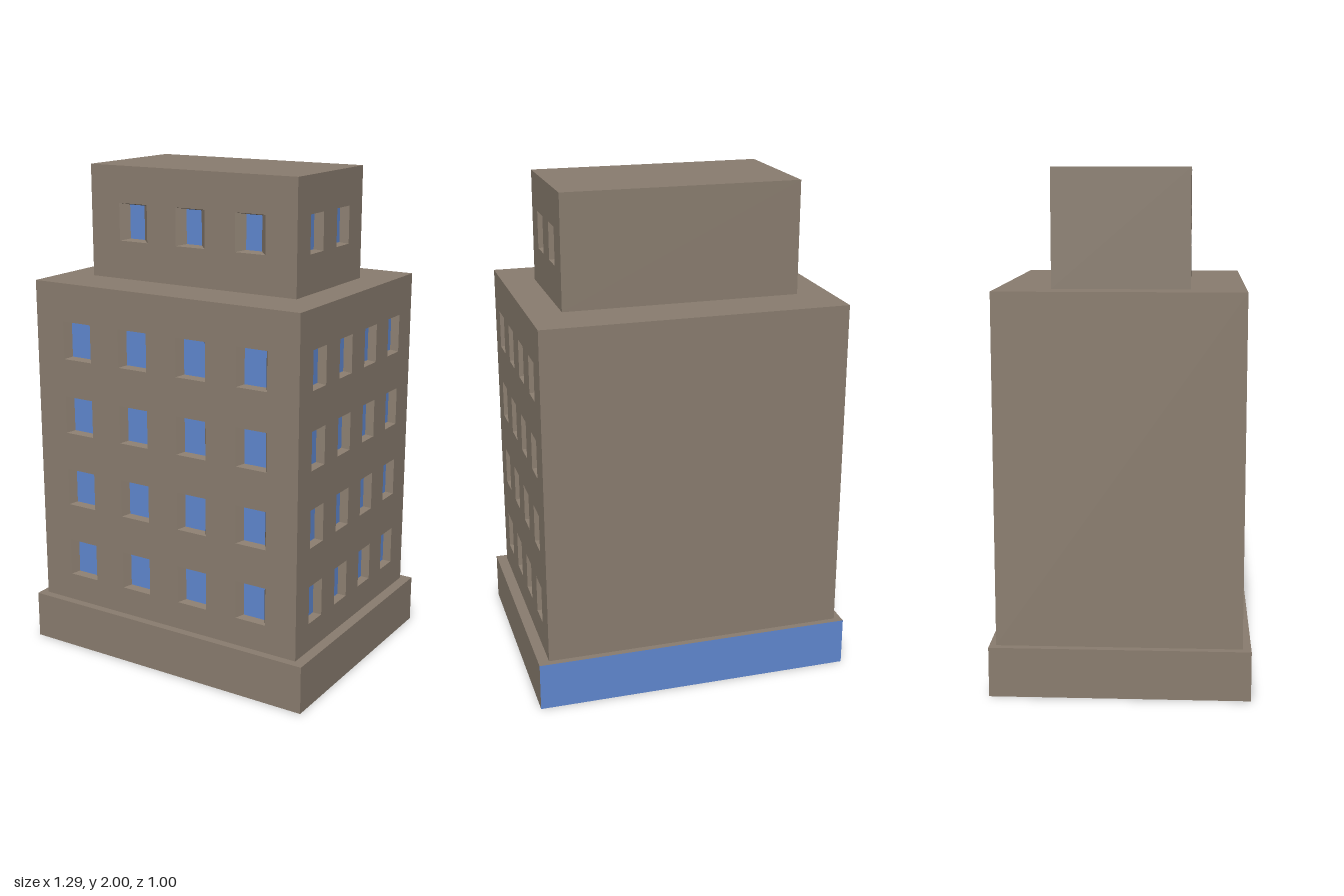
import * as THREE from 'three';

const stone = new THREE.MeshStandardMaterial({ color: 0x8a7d6f });
const blue = new THREE.MeshStandardMaterial({ color: 0x6088d0 });
const DEPTH = 0.03;

function addMesh(parent, name, geometry, material) {
  const mesh = new THREE.Mesh(geometry, material);
  mesh.name = name;
  parent.add(mesh);
  return mesh;
}

// corners of a rectangle, counter-clockwise seen from the front
const corners = (x, y, w, h, z = 0) =>
  [[-1, -1], [1, -1], [1, 1], [-1, 1]].map(([a, b]) => new THREE.Vector3(x + a * w / 2, y + b * h / 2, z));

// four slanted sides running from the opening in to the glass
function revealGeometry(outer, inner) {
  const points = [];
  for (let i = 0; i < 4; i++) {
    const j = (i + 1) % 4;
    points.push(outer[i], outer[j], inner[j], outer[i], inner[j], inner[i]);
  }
  const geometry = new THREE.BufferGeometry().setFromPoints(points);
  geometry.computeVertexNormals();
  return geometry;
}

// flat wall facing +z with a grid of recessed windows
function facade(name, x0, x1, y0, y1, columns, rows, win) {
  const group = new THREE.Group();
  group.name = name;
  const wall = new THREE.Shape(
    [[x0, y0], [x1, y0], [x1, y1], [x0, y1]].map(([x, y]) => new THREE.Vector2(x, y)));
  for (const x of columns) for (const y of rows) {
    const outer = corners(x, y, win.w, win.h);
    const inner = corners(x, y, win.glassW, win.h - 0.014, -DEPTH);
    wall.holes.push(new THREE.Path(outer.map(p => new THREE.Vector2(p.x, p.y)).reverse()));
    addMesh(group, 'windowReveal', revealGeometry(outer, inner), stone);
    const glass = addMesh(group, 'windowGlass', new THREE.PlaneGeometry(win.glassW, win.h - 0.014), blue);
    glass.position.set(x, y, -DEPTH);
  }
  addMesh(group, 'wall', new THREE.ShapeGeometry(wall), stone);
  return group;
}

// one storey block: plain left, back and roof, windows on the front and the +x side
function tier(name, b, front, side) {
  const group = new THREE.Group();
  group.name = name;
  const shell = new THREE.BoxGeometry(b.x1 - b.x0, b.y1 - b.y0, b.z1 - b.z0);
  const index = Array.from(shell.index.array);
  shell.setIndex([...index.slice(6, 18), ...index.slice(30)]);
  shell.clearGroups();
  shell.translate((b.x0 + b.x1) / 2, (b.y0 + b.y1) / 2, (b.z0 + b.z1) / 2);
  addMesh(group, 'plainWallsAndRoof', shell, stone);

  const frontWall = facade('frontFacade', b.x0, b.x1, b.y0, b.y1, front.columns, b.rows, front);
  frontWall.position.z = b.z1;
  const sideWall = facade('sideFacade', -b.z1, -b.z0, b.y0, b.y1, side.columns, b.rows, side);
  sideWall.rotation.y = Math.PI / 2;
  sideWall.position.x = b.x1;
  group.add(frontWall, sideWall);
  return group;
}

export function createModel() {
  const model = new THREE.Group();
  model.name = 'building';

  // plinth with a blue back face
  const plinth = addMesh(model, 'plinth', new THREE.BoxGeometry(1.286, 0.195, 1.002),
    [stone, stone, stone, stone, stone, blue]);
  plinth.position.y = 0.0975;

  // main block, four by four windows on two sides
  model.add(tier('mainBlock',
    { x0: -0.613, x1: 0.6, y0: 0.195, y1: 1.55, z0: -0.475, z1: 0.468, rows: [0.387, 0.698, 1.008, 1.318] },
    { columns: [-0.413, -0.143, 0.128, 0.398], w: 0.134, h: 0.154, glassW: 0.094 },
    { columns: [-0.315, -0.106, 0.104, 0.314], w: 0.103, h: 0.154, glassW: 0.075 }));

  // smaller penthouse on the roof
  model.add(tier('penthouse',
    { x0: -0.481, x1: 0.466, y0: 1.55, y1: 2, z0: -0.264, z1: 0.259, rows: [1.778] },
    { columns: [-0.278, -0.008, 0.263], w: 0.134, h: 0.15, glassW: 0.07 },
    { columns: [-0.106, 0.104], w: 0.103, h: 0.15, glassW: 0.058 }));

  return model;
}
